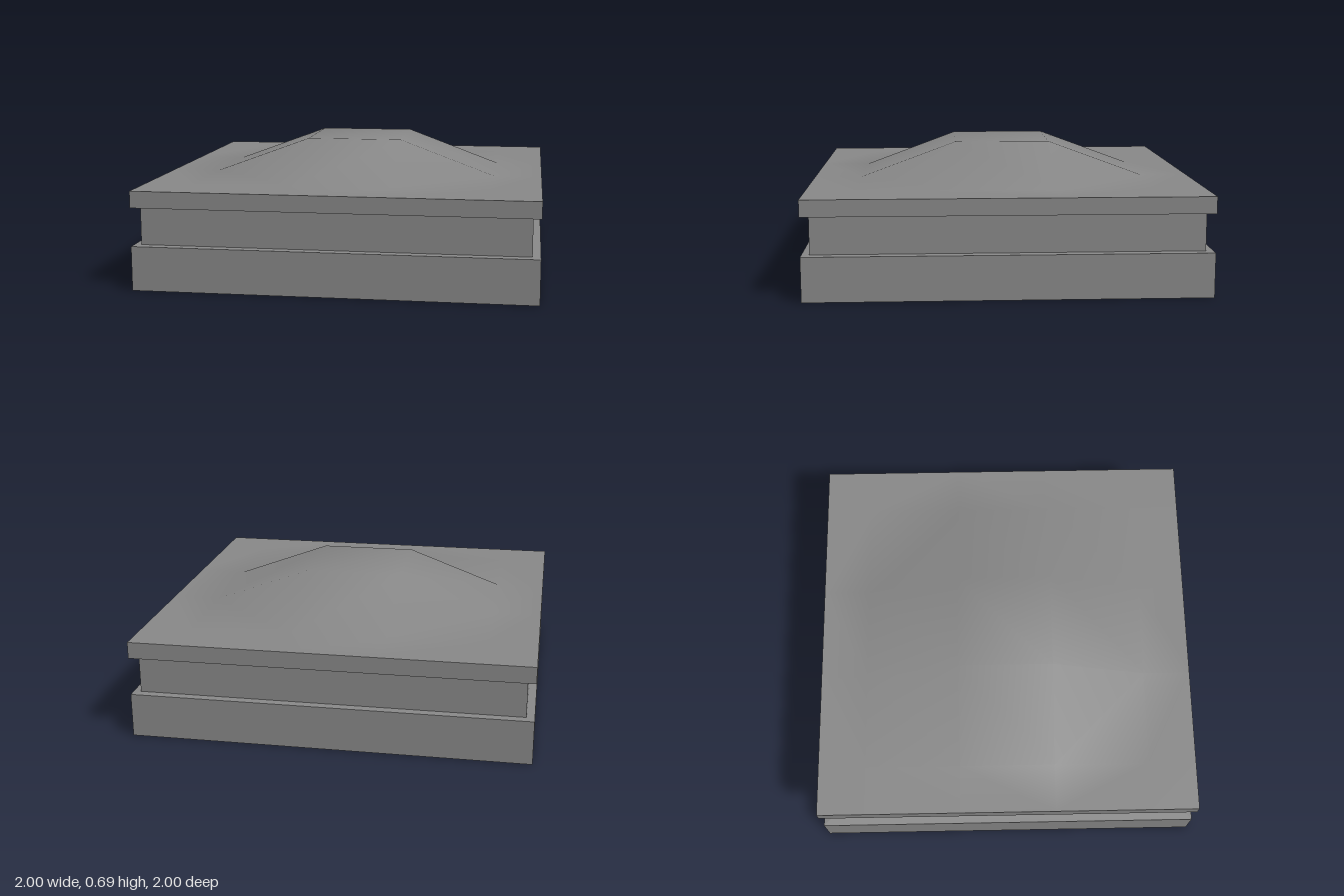
import * as THREE from 'three';

const material = () => new THREE.MeshStandardMaterial({ color: 0x888888 });

// Square stepped body: a four-sided lathe of half-width / height pairs
function squareBody() {
  const profile = [[0, 0], [1, 0], [1, 0.223], [0.96, 0.226], [0.96, 0.413], [1, 0.416], [1, 0.5]];
  const points = profile.map(([r, y]) => new THREE.Vector2(r * Math.SQRT2, y));
  const geometry = new THREE.LatheGeometry(points, 4, Math.PI / 4).toNonIndexed();
  geometry.computeVertexNormals();
  return geometry;
}

// Smooth top sheet: a grid raised to a flat plateau in the middle
function moundedTop() {
  const steps = [-1, -0.75, -0.25, 0.25, 0.75, 1];
  const n = steps.length;
  const positions = [];
  const index = [];
  for (const z of steps) {
    for (const x of steps) {
      const raised = Math.abs(x) < 0.5 && Math.abs(z) < 0.5;
      positions.push(x, raised ? 0.685 : 0.5, z);
    }
  }
  for (let j = 0; j < n - 1; j++) {
    for (let i = 0; i < n - 1; i++) {
      const a = j * n + i, b = a + n, c = b + 1, d = a + 1;
      // Diagonals cut across the corners of the mound on all four sides
      if ((i - 2) * (j - 2) < 0) index.push(a, b, c, a, c, d);
      else index.push(a, b, d, b, c, d);
    }
  }
  const geometry = new THREE.BufferGeometry();
  geometry.setAttribute('position', new THREE.Float32BufferAttribute(positions, 3));
  geometry.setIndex(index);
  geometry.computeVertexNormals();
  return geometry;
}

export function createModel() {
  const model = new THREE.Group();
  model.name = 'groovedSlab';

  // Base, recessed band and rim
  const body = new THREE.Mesh(squareBody(), material());
  body.name = 'groovedBody';

  // Gently mounded upper surface
  const top = new THREE.Mesh(moundedTop(), material());
  top.name = 'moundedTop';

  model.add(body, top);
  return model;
}
